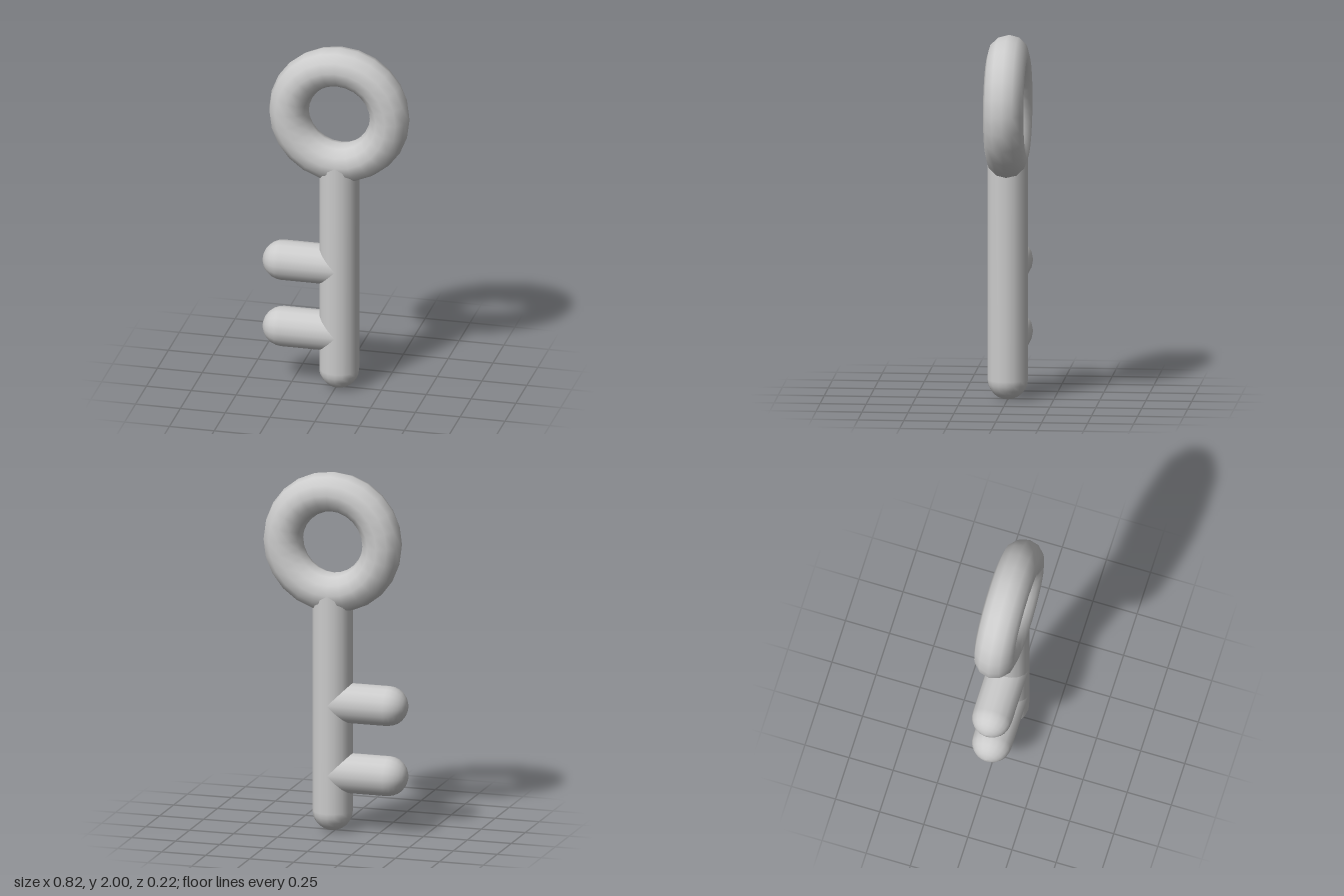
import * as THREE from 'three';

const R = 0.11;        // thickness radius shared by every rod
const AXIS_X = 0.015;  // shaft centre line

// Rod along -y from the origin, ending in a half-sphere tip
function rodGeometry(length) {
  const profile = [];
  const steps = 6;
  for (let i = 0; i <= steps; i++) {
    const a = (i / steps) * Math.PI / 2;
    profile.push(new THREE.Vector2(R * Math.sin(a), -length + R - R * Math.cos(a)));
  }
  profile.push(new THREE.Vector2(R, 0));
  profile.push(new THREE.Vector2(0, 0));
  // separate the flat hidden cap so the sides stay smooth
  const side = new THREE.LatheGeometry(profile.slice(0, -1), 16);
  return side;
}

export function createModel() {
  const group = new THREE.Group();
  group.name = 'key';
  const material = new THREE.MeshStandardMaterial({ color: 0xcccccc });

  const add = (name, geometry, x, y) => {
    const mesh = new THREE.Mesh(geometry, material);
    mesh.name = name;
    mesh.position.set(x, y, 0);
    group.add(mesh);
    return mesh;
  };

  // Ring handle
  add('bow', new THREE.TorusGeometry(0.281, R, 12, 24), AXIS_X, 1.609);

  // Shaft, its open top buried in the ring
  add('shaft', rodGeometry(1.328), AXIS_X, 1.328);

  // Two teeth pointing to -x, starting inside the shaft
  for (const [name, y] of [['upperTooth', 0.715], ['lowerTooth', 0.323]]) {
    add(name, rodGeometry(0.425), AXIS_X, y).rotation.z = -Math.PI / 2;
  }

  return group;
}
